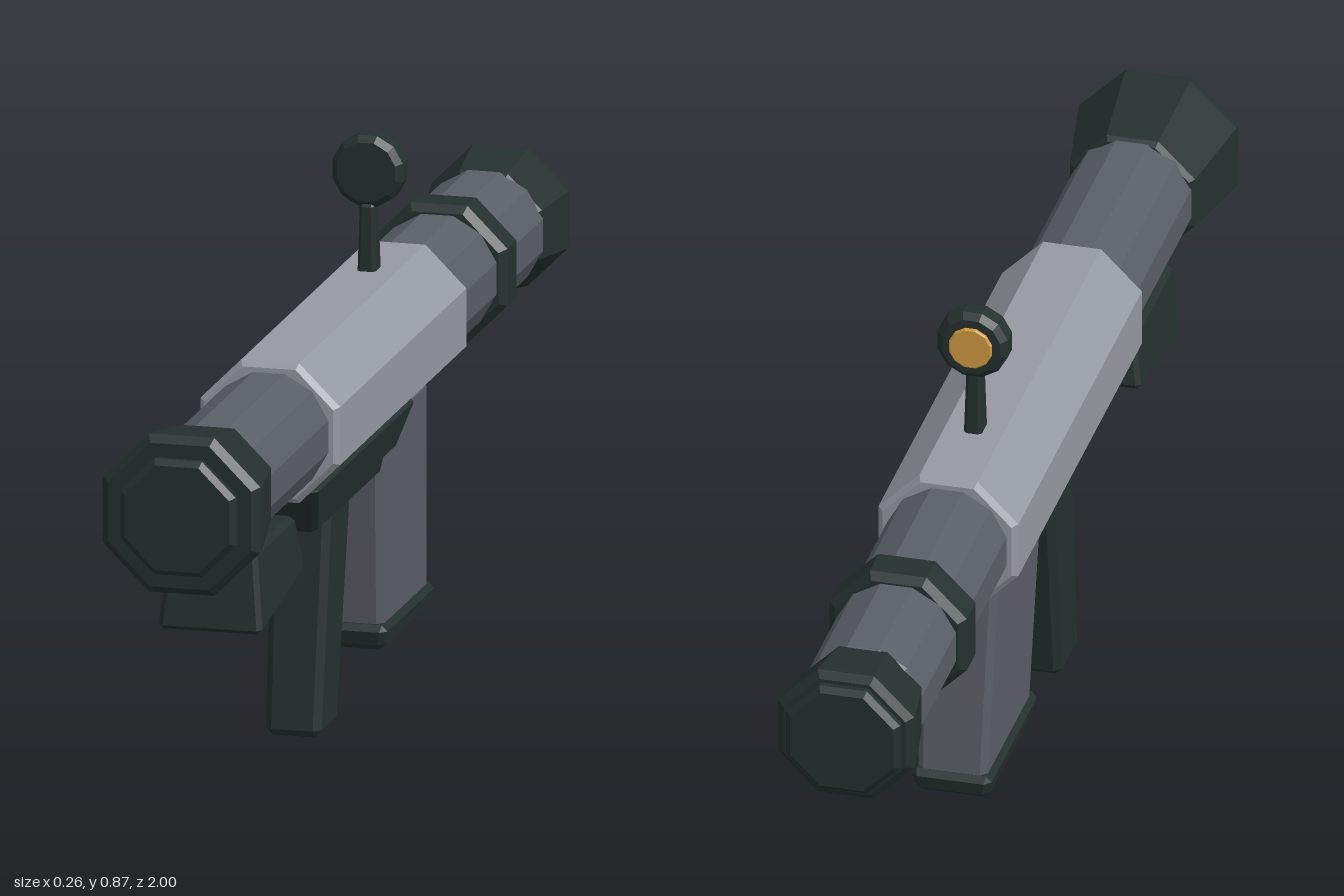
import * as THREE from 'three';
import { ConvexGeometry } from 'three/addons/geometries/ConvexGeometry.js';

const paint = (name, color) => {
  const m = new THREE.MeshStandardMaterial({ color });
  m.name = name;
  return m;
};

// Faceted solid along z: profile is [half width across flats, z], z rising
function turned(sides, profile) {
  const k = 1 / Math.cos(Math.PI / sides);
  const z0 = profile[0][1], z1 = profile[profile.length - 1][1];
  const pts = [[0, z0], ...profile, [0, z1]].map(([r, z]) => new THREE.Vector2(r * k, z));
  const g = new THREE.LatheGeometry(pts, sides, Math.PI / sides).toNonIndexed();
  g.rotateX(Math.PI / 2);
  g.computeVertexNormals();
  return g;
}

// Turned solid of constant width with chamfered rims
const band = (sides, r, z0, z1, c) =>
  turned(sides, [[r - c, z0], [r, z0 + c], [r, z1 - c], [r - c, z1]]);

// Chamfered slanted block: each level is { y: [back, front], z: [back, front], w: half width }
function block(bottom, top, c) {
  const corner = (i, j, k) => {
    const l = j ? top : bottom;
    return new THREE.Vector3(i ? l.w : -l.w, l.y[k], l.z[k]);
  };
  const pts = [];
  for (let n = 0; n < 8; n++) {
    const i = n & 1, j = (n >> 1) & 1, k = n >> 2;
    const p = corner(i, j, k);
    const inward = [corner(1 - i, j, k), corner(i, 1 - j, k), corner(i, j, 1 - k)]
      .map(q => q.sub(p).setLength(c));
    for (let s = 0; s < 3; s++) {
      pts.push(p.clone().add(inward[s]).add(inward[(s + 1) % 3]));
    }
  }
  return new ConvexGeometry(pts);
}

export function createModel() {
  const model = new THREE.Group();
  model.name = 'launcher';
  const dark = paint('dark green black', 0x25312f);
  const steel = paint('steel grey', 0x5a5f66);
  const light = paint('light grey', 0x969aa1);
  const amber = paint('amber', 0xd09c40);

  const add = (name, geometry, material, y = 0) => {
    const mesh = new THREE.Mesh(geometry, material);
    mesh.name = name;
    mesh.position.y = y;
    model.add(mesh);
  };
  const axis = 0.54;

  // Barrel and its fittings
  add('barrel', band(12, 0.098, -0.87, 0.82, 0.005), steel, axis);
  add('sleeve', band(8, 0.115, -0.345, 0.44, 0.009), light, axis);
  add('rearRing', band(8, 0.113, -0.66, -0.582, 0.012), dark, axis);
  add('muzzle', turned(8, [[0.095, 0.798], [0.103, 0.806], [0.13, 0.962], [0.13, 0.97], [0.118, 0.982]]), dark, axis);
  add('muzzleCap', band(8, 0.095, 0.97, 1, 0.009), dark, axis);
  add('exhaust', turned(8, [[0.1, -0.982], [0.112, -0.972], [0.112, -0.963], [0.096, -0.865], [0.09, -0.858]]), dark, axis);
  add('exhaustCap', band(8, 0.094, -1, -0.97, 0.009), dark, axis);

  // Sight on its post
  add('sightPost', block(
    { y: [0.645, 0.645], z: [-0.19, -0.148], w: 0.015 },
    { y: [0.765, 0.765], z: [-0.185, -0.152], w: 0.012 }, 0.005), dark);
  add('sightDisc', band(12, 0.058, -0.197, -0.15, 0.01), dark, 0.818);
  add('sightLens', band(12, 0.035, -0.204, -0.196, 0.002), amber, 0.818);

  // Underside parts
  add('foreGrip', block(
    { y: [0.345, 0.302], z: [0.53, 0.802], w: 0.086 },
    { y: [0.437, 0.437], z: [0.548, 0.785], w: 0.073 }, 0.008), dark);
  add('gripRail', block(
    { y: [0.358, 0.358], z: [-0.07, 0.365], w: 0.058 },
    { y: [0.45, 0.45], z: [-0.175, 0.435], w: 0.078 }, 0.01), dark);
  add('grip', block(
    { y: [0.003, 0.003], z: [0.188, 0.302], w: 0.046 },
    { y: [0.39, 0.39], z: [0.116, 0.25], w: 0.05 }, 0.012), dark);
  add('magazine', block(
    { y: [0.09, 0.09], z: [-0.32, -0.042], w: 0.057 },
    { y: [0.45, 0.45], z: [-0.284, 0.002], w: 0.066 }, 0.011), steel);
  add('magazineFoot', block(
    { y: [0.063, 0.063], z: [-0.32, -0.035], w: 0.06 },
    { y: [0.106, 0.106], z: [-0.33, -0.024], w: 0.068 }, 0.011), dark);

  return model;
}
